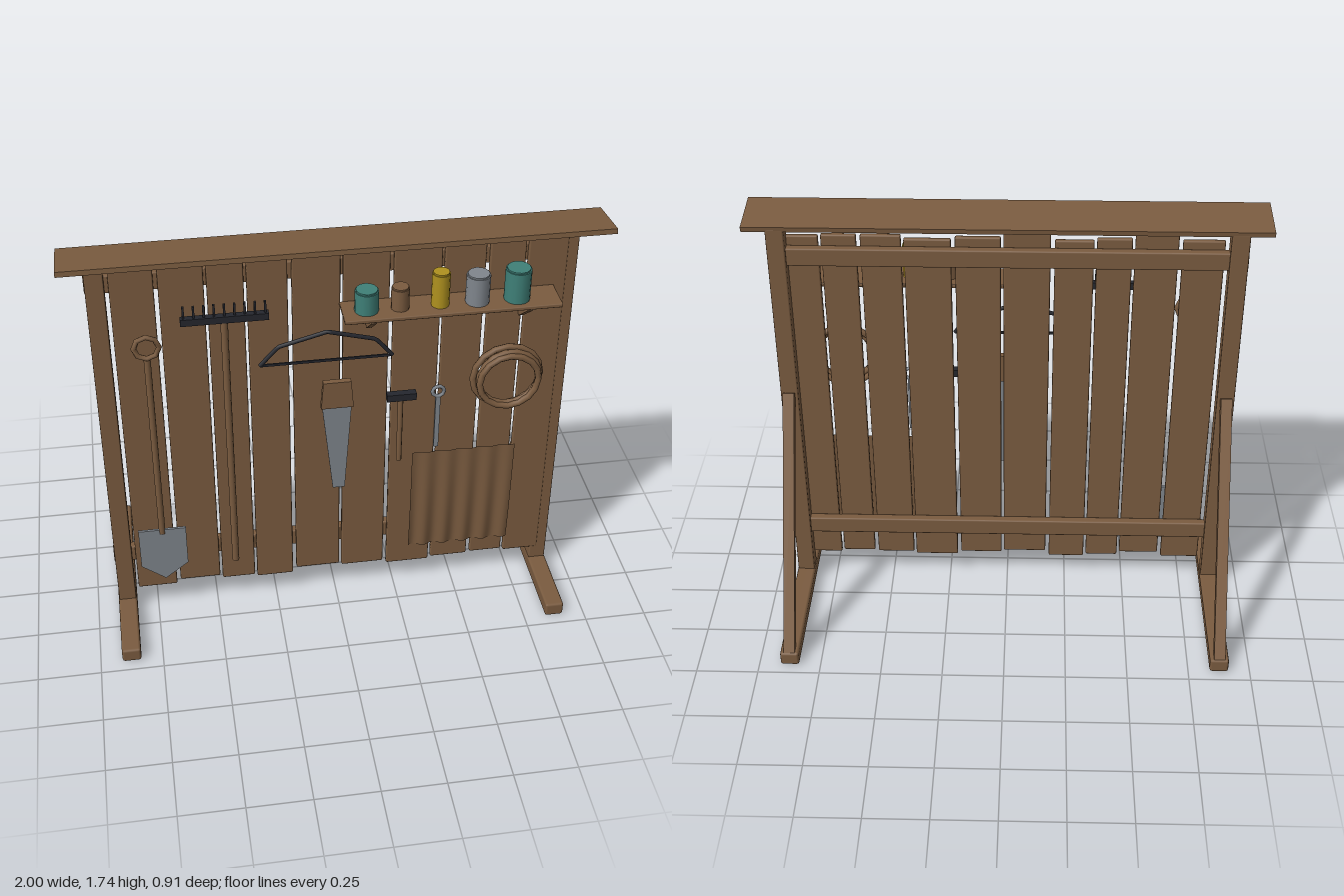
import * as THREE from 'three';
import { RoundedBoxGeometry } from 'three/addons/geometries/RoundedBoxGeometry.js';

export function createModel() {
  const root = new THREE.Group();
  root.name = 'toolWall';
  const mat = (name, color, extra = {}) => {
    const m = new THREE.MeshStandardMaterial({ color, ...extra });
    m.name = name;
    return m;
  };
  const wood = mat('wood', 0x7b5c40);
  const cloth = mat('cloth', 0x7b5c40, { side: THREE.DoubleSide });
  const steel = mat('steel', 0x80868d);
  const iron = mat('darkIron', 0x25272e);
  const teal = mat('tealPaint', 0x3f8078);
  const yellow = mat('yellowPaint', 0xb0921f);

  const add = (name, geo, material, x = 0, y = 0, z = 0) => {
    const m = new THREE.Mesh(geo, material);
    m.name = name;
    m.position.set(x, y, z);
    root.add(m);
    return m;
  };
  // timber with softened edges, given by its limits
  const timber = (name, x0, x1, y0, y1, z0, z1, r = 0.006) =>
    add(name, new RoundedBoxGeometry(x1 - x0, y1 - y0, z1 - z0, 1, r), wood,
      (x0 + x1) / 2, (y0 + y1) / 2, (z0 + z1) / 2);
  const box = (name, material, w, h, d, x, y, z) =>
    add(name, new THREE.BoxGeometry(w, h, d), material, x, y, z);
  // square bar in the yz plane between two [y, z] points
  const slantBar = (name, x, [y0, z0], [y1, z1], w, t) => {
    const m = add(name, new THREE.BoxGeometry(w, Math.hypot(y1 - y0, z1 - z0), t), wood,
      x, (y0 + y1) / 2, (z0 + z1) / 2);
    m.rotation.x = Math.atan2(z1 - z0, y1 - y0);
  };
  const rod = (name, material, r, x, y0, y1, z, sides = 8) =>
    add(name, new THREE.CylinderGeometry(r, r, y1 - y0, sides), material, x, (y0 + y1) / 2, z);
  // thin plate cut from an xy outline
  const plate = (name, material, pts, depth, z) => {
    const shape = new THREE.Shape(pts.map(([x, y]) => new THREE.Vector2(x, y)));
    return add(name, new THREE.ExtrudeGeometry(shape, { depth, bevelEnabled: false }),
      material, 0, 0, z - depth / 2);
  };

  // frame: feet, posts, braces
  for (const s of [-1, 1]) {
    const x = s * 0.875;
    timber('foot', x - 0.038, x + 0.038, 0.005, 0.065, -0.455, 0.455, 0.01);
    timber('post', x - 0.035, x + 0.035, 0.06, 1.71, 0.085, 0.154);
    slantBar('brace', x, [0.05, -0.435], [0.985, 0.078], 0.045, 0.036);
  }
  for (const y of [0.295, 1.585]) timber('rail', -0.913, 0.913, y - 0.037, y + 0.037, 0.1, 0.136);

  // sloping roof board
  box('roofBoard', wood, 2, 0.02, 0.207, 0, 1.722, 0.188).rotation.x = -0.12;

  // planks: left, right, bottom, top
  [
    [-0.825, -0.665, 0.125, 1.655], [-0.65, -0.485, 0.145, 1.68], [-0.475, -0.34, 0.13, 1.66],
    [-0.33, -0.18, 0.12, 1.65], [-0.165, 0.015, 0.145, 1.68], [0.025, 0.2, 0.135, 1.66],
    [0.215, 0.395, 0.12, 1.65], [0.405, 0.56, 0.13, 1.665], [0.575, 0.71, 0.135, 1.665],
    [0.72, 0.87, 0.125, 1.66],
  ].forEach(([x0, x1, y0, y1]) => timber('plank', x0, x1, y0, y1, 0.134, 0.156));

  // shelf, brackets and jars
  timber('shelf', 0.01, 0.825, 1.43, 1.446, 0.155, 0.295, 0.004);
  for (const x of [0.12, 0.705]) slantBar('shelfBracket', x, [1.335, 0.165], [1.425, 0.275], 0.02, 0.018);
  [
    [0.1, 0.045, 1.537, teal], [0.225, 0.034, 1.538, wood], [0.375, 0.034, 1.587, yellow],
    [0.515, 0.045, 1.567, steel], [0.665, 0.049, 1.578, teal],
  ].forEach(([x, r, top, m]) => {
    rod('jar', m, r, x, 1.445, top - 0.006, 0.228, 14);
    rod('jarLid', m, r * 0.9, x, top - 0.006, top, 0.228, 14);
  });

  // shovel
  rod('shovelShaft', wood, 0.013, -0.71, 0.44, 1.285, 0.19);
  add('shovelGrip', new THREE.TorusGeometry(0.047, 0.011, 6, 8), wood, -0.71, 1.335, 0.19);
  plate('shovelBlade', steel,
    [[-0.805, 0.46], [-0.805, 0.275], [-0.71, 0.2], [-0.615, 0.275], [-0.615, 0.46]], 0.01, 0.192);

  // rake
  rod('rakeShaft', wood, 0.014, -0.42, 0.255, 1.43, 0.186);
  box('rakeHead', iron, 0.325, 0.028, 0.026, -0.418, 1.435, 0.188);
  for (let i = 0; i < 9; i++) box('rakeTooth', iron, 0.008, 0.05, 0.01, -0.568 + i * 0.0375, 1.472, 0.188);

  // bow saw
  const bow = new THREE.CurvePath();
  const bowPts = [[-0.295, 1.212], [-0.225, 1.29], [-0.04, 1.34], [0.145, 1.29], [0.21, 1.212]]
    .map(([x, y]) => new THREE.Vector3(x, y, 0.19));
  for (let i = 0; i < 4; i++) bow.add(new THREE.LineCurve3(bowPts[i], bowPts[i + 1]));
  add('bowSawFrame', new THREE.TubeGeometry(bow, 32, 0.008, 6), iron);
  box('bowSawBlade', iron, 0.505, 0.01, 0.006, -0.0425, 1.212, 0.19);

  // hand saw
  plate('handSawGrip', wood, [[-0.065, 0.99], [0.062, 0.99], [0.052, 1.11], [-0.056, 1.11]], 0.024, 0.188);
  plate('handSawBlade', steel, [[-0.018, 0.59], [0.03, 0.59], [0.055, 0.992], [-0.06, 0.992]], 0.008, 0.188);

  // hammer
  box('hammerHead', iron, 0.115, 0.03, 0.03, 0.248, 1.02, 0.198);
  rod('hammerHandle', wood, 0.011, 0.245, 0.71, 1.008, 0.2);

  // wrench
  box('wrenchShaft', steel, 0.019, 0.25, 0.01, 0.396, 0.875, 0.186);
  add('wrenchRing', new THREE.TorusGeometry(0.023, 0.008, 6, 10), steel, 0.396, 1.018, 0.186);

  // coiled rope
  [[0.133, 0.655, 1.085, 0.212], [0.119, 0.662, 1.083, 0.228], [0.116, 0.66, 1.075, 0.24]]
    .forEach(([r, x, y, z], i) =>
      add('ropeCoil', new THREE.TorusGeometry(r, 0.013, 7, 16), wood, x, y, z).rotation.z = i * 0.2);

  // pleated cloth, folds deepening and tucking in towards the hem
  const sheet = new THREE.PlaneGeometry(0.42, 0.5, 48, 12);
  const p = sheet.attributes.position;
  for (let i = 0; i < p.count; i++) {
    const t = 0.5 - p.getY(i) / 0.5;
    const wave = Math.sin((p.getX(i) / 0.42) * Math.PI * 10);
    p.setZ(i, wave * (0.003 + 0.005 * t) - 0.012 * t * t * t);
  }
  sheet.computeVertexNormals();
  add('hangingCloth', sheet, cloth, 0.515, 0.465, 0.177);

  return root;
}
